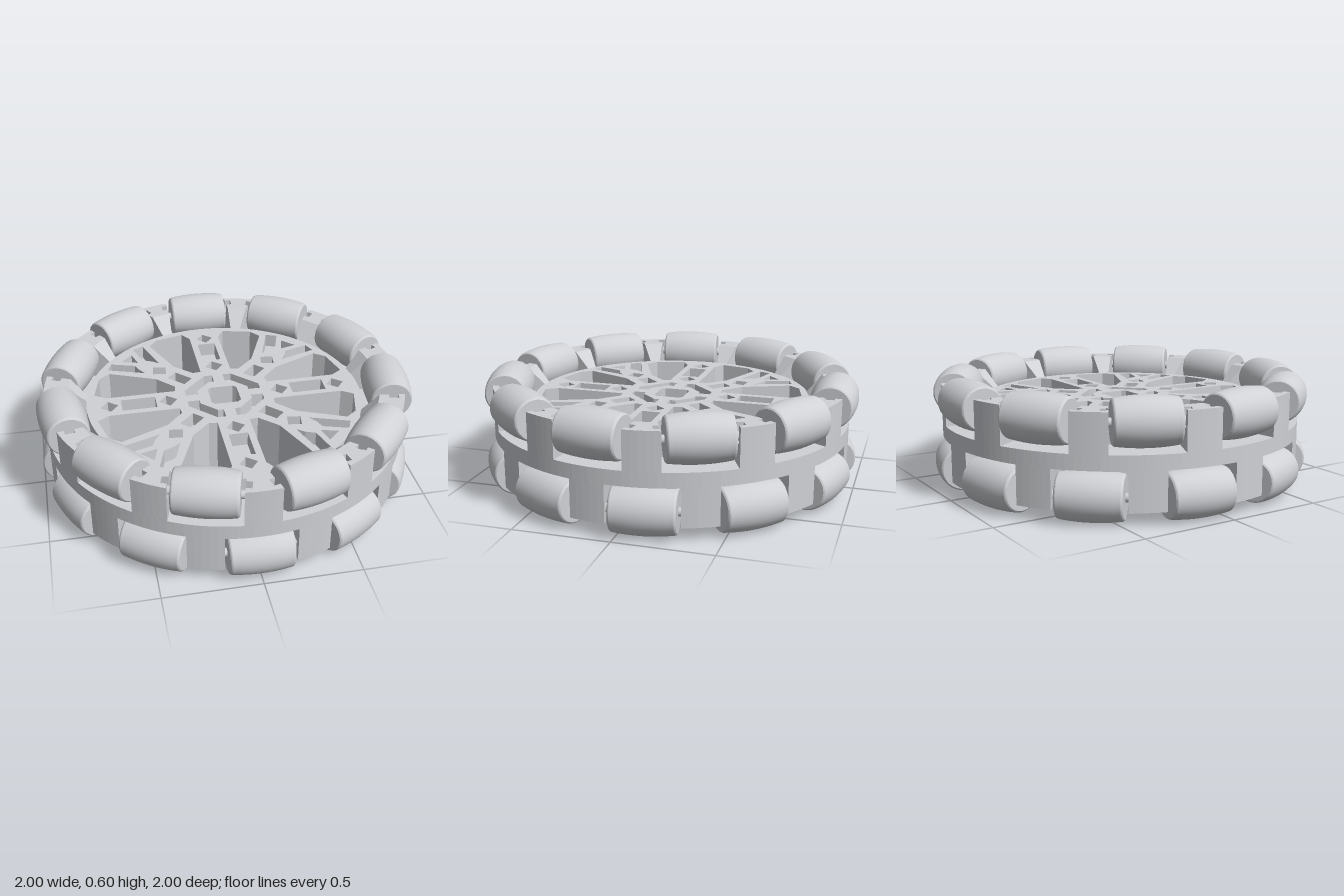
import * as THREE from 'three';
import { toCreasedNormals } from 'three/addons/utils/BufferGeometryUtils.js';

const COUNT = 11, STEP = (Math.PI * 2) / COUNT;
const RIM = 0.955, SLOT = 0.18, AXLE_R = 0.877, AXLE_Y = 0.477, MID = 0.3;
const NECK = 0.715, WEB_TOP = 0.445, BLOCK_TOP = 0.535;
const metal = new THREE.MeshStandardMaterial({ color: 0xcfd1d5 });
metal.name = 'light grey';

const V = (x, y) => new THREE.Vector2(x, y);
const path = (pts) => new THREE.Path(pts.map(([x, y]) => V(x, y)));

// Repeat an outline in all four quarters; optionally also mirrored about the diagonal
function quarters(pts, mirror = false) {
  const out = [];
  for (let q = 0; q < 4; q++) {
    const c = Math.round(Math.cos(q * Math.PI / 2)), s = Math.round(Math.sin(q * Math.PI / 2));
    const turn = (p) => p.map(([x, y]) => [x * c - y * s, x * s + y * c]);
    out.push(path(turn(pts)));
    if (mirror) out.push(path(turn(pts.map(([x, y]) => [y, x]))));
  }
  return out;
}

const diamond = (x, y, r, turn) => [0, 1, 2, 3].map((i) => {
  const a = turn + i * Math.PI / 2;
  return [x + r * Math.cos(a), y + r * Math.sin(a)];
});

function disc(r, holes) {
  const s = new THREE.Shape();
  s.absarc(0, 0, r, 0, Math.PI * 2, false);
  s.holes = holes;
  return s;
}

// Openings that go right through the wheel
function throughHoles() {
  const b = 0.08, c = 0.062;
  return [
    path([[b, -c], [b, c], [c, b], [-c, b], [-b, c], [-b, -c], [-c, -b], [c, -b]]),
    ...quarters([[0.085, 0.255], [0.13, 0.25], [0.225, 0.34], [0.33, 0.59], [0.285, 0.65],
      [0.125, 0.69], [0.085, 0.63]], true),
    ...quarters(diamond(0, 0.62, 0.048, 0.1)),
    ...quarters(diamond(0, 0.305, 0.05, 0.1)),
    ...quarters(diamond(0.31, 0.31, 0.05, 0.65)),
    ...quarters([[0.42, 0.42], [0.51, 0.445], [0.445, 0.51]]),
  ];
}

// Recesses in the faces of the spokes and hub
function pockets() {
  return [
    ...quarters([[-0.05, 0.37], [0.05, 0.37], [0.05, 0.555], [-0.05, 0.555]]),
    ...quarters([[0.3, 0.39], [0.34, 0.42], [0.39, 0.44], [0.43, 0.57], [0.37, 0.595]], true),
    ...quarters([[0.195, 0.145], [0.275, 0.225], [0.225, 0.275], [0.145, 0.195]]),
    ...quarters([[0.03, 0.205], [0.075, 0.205], [0.205, 0.075], [0.205, 0.03],
      [0.14, 0.03], [0.14, 0.06], [0.06, 0.14], [0.03, 0.14]]),
  ];
}

// Plan of the block between two rollers, centred on +y, optionally notched for the pins
function blockShape(notched) {
  const half = STEP / 2, c = Math.cos(half), s = Math.sin(half);
  const side = [[SLOT, NECK]];
  if (notched) side.push([SLOT, 0.852], [0.212, 0.852], [0.212, 0.902], [SLOT, 0.902]);
  side.push([SLOT, Math.sqrt(RIM * RIM - SLOT * SLOT)]);
  const left = side.map(([t, r]) => [t * c - r * s, t * s + r * c]);
  const spread = half - Math.asin(SLOT / RIM), arc = [];
  for (let k = 1; k < 5; k++) {
    const g = spread * (k / 2.5 - 1);
    arc.push([RIM * Math.sin(g), RIM * Math.cos(g)]);
  }
  const right = left.map(([x, y]) => [-x, y]).reverse();
  return new THREE.Shape([...left, ...arc, ...right].map(([x, y]) => V(x, y)));
}

// Flat slab lying between two heights
function slabGeometry(shape, y0, y1) {
  const g = new THREE.ExtrudeGeometry(shape, { depth: y1 - y0, bevelEnabled: false, curveSegments: 72 });
  return g.rotateX(-Math.PI / 2).translate(0, y0, 0);
}

// Top of a block: its inner face leans outward towards the top
function blockTopGeometry() {
  const g = slabGeometry(blockShape(true), WEB_TOP, BLOCK_TOP), p = g.attributes.position;
  const half = STEP / 2, lean = 0.09;
  for (let i = 0; i < p.count; i++) {
    if (p.getY(i) > BLOCK_TOP - 0.01 && p.getZ(i) > -0.76) {
      p.setX(i, p.getX(i) + Math.sign(p.getX(i)) * lean * Math.sin(half));
      p.setZ(i, p.getZ(i) - lean * Math.cos(half));
    }
  }
  g.computeVertexNormals();
  return g;
}

// Barrel whose bulge follows the wheel's outer circle
function rollerGeometry() {
  const pts = [V(0, -0.16), V(0.103, -0.16), V(0.109, -0.155)];
  for (let i = -6; i <= 6; i++) {
    const t = i * 0.025;
    pts.push(V(Math.sqrt(1 - t * t) - AXLE_R, t));
  }
  pts.push(V(0.109, 0.155), V(0.103, 0.16), V(0, 0.16));
  return toCreasedNormals(new THREE.LatheGeometry(pts, 40), 0.35).rotateZ(Math.PI / 2);
}

const parts = {
  rimDisc: slabGeometry(disc(RIM, throughHoles()), MID, 0.338),
  spokeBase: slabGeometry(disc(0.74, throughHoles()), 0.338, 0.37),
  spokeWalls: slabGeometry(disc(0.74, [...throughHoles(), ...pockets()]), 0.37, WEB_TOP),
  blockBase: slabGeometry(blockShape(false), 0.338, WEB_TOP),
  blockTop: blockTopGeometry(),
  roller: rollerGeometry(),
  rollerPin: new THREE.CylinderGeometry(0.022, 0.022, 0.416, 16).rotateZ(Math.PI / 2),
};

function part(name) {
  const m = new THREE.Mesh(parts[name], metal);
  m.name = name;
  return m;
}

function group(name, ...children) {
  const g = new THREE.Group();
  g.name = name;
  return g.add(...children);
}

function createHalf(name) {
  const half = group(name, part('rimDisc'), part('spokeBase'), part('spokeWalls'));
  for (let i = 0; i < COUNT; i++) {
    const a = i * STEP;
    const unit = group('rollerUnit', part('roller'), part('rollerPin'));
    unit.position.set(AXLE_R * Math.sin(a), AXLE_Y, -AXLE_R * Math.cos(a));
    unit.rotation.y = -a;
    const block = group('rollerBlock', part('blockBase'), part('blockTop'));
    block.rotation.y = -a - STEP / 2;
    half.add(unit, block);
  }
  return half;
}

export function createModel() {
  // The lower half is the same part turned over, so its rollers fill the gaps
  const lower = createHalf('lowerHalf');
  lower.rotation.x = Math.PI;
  lower.position.y = 2 * MID;
  return group('rollerWheel', createHalf('upperHalf'), lower);
}
